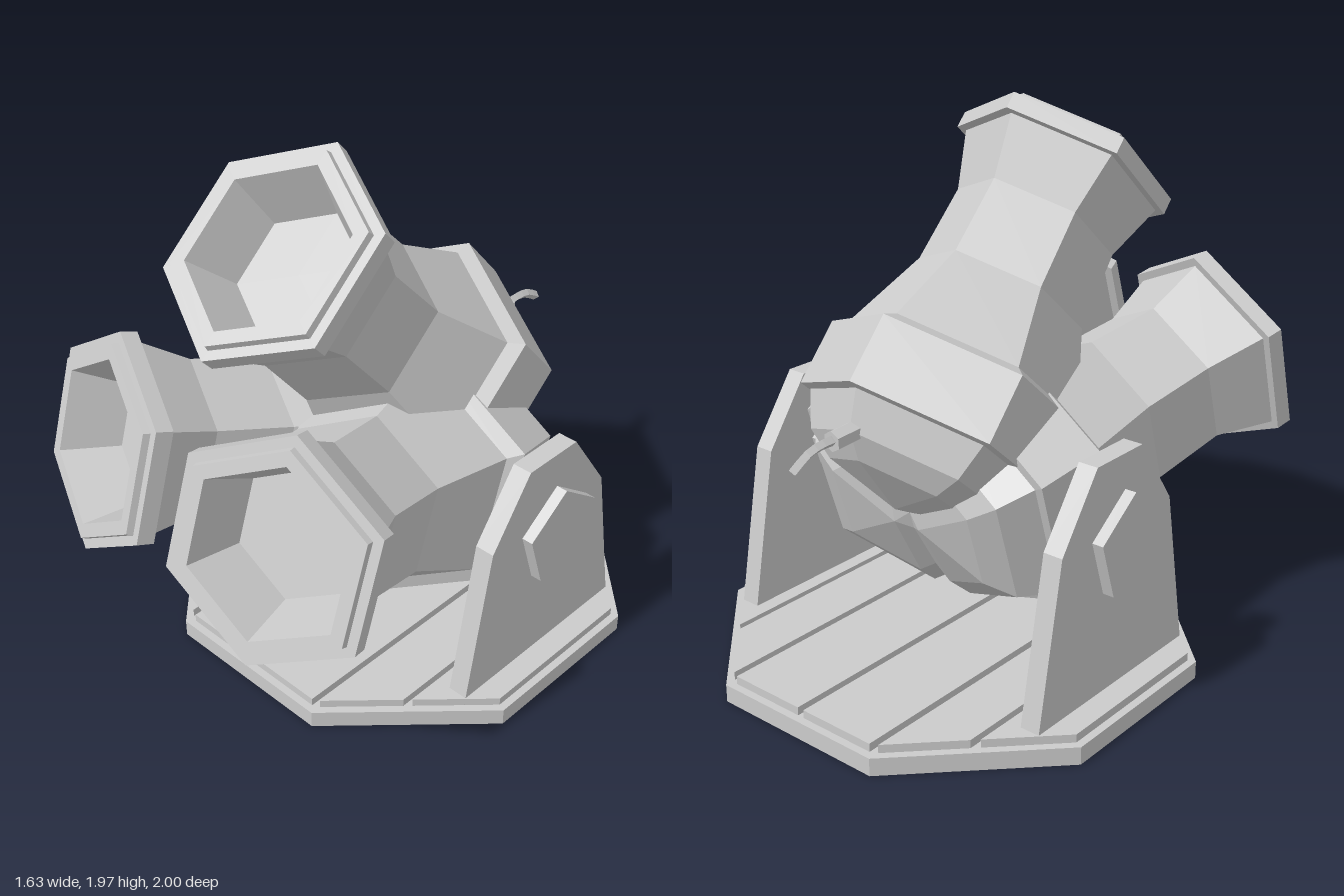
import * as THREE from 'three';

const mat = new THREE.MeshStandardMaterial({ color: 0xcccccc, flatShading: true });
const CZ = -0.19; // centre of the platform in z

function add(parent, geometry, name, x = 0, y = 0, z = 0) {
  const mesh = new THREE.Mesh(geometry, mat);
  mesh.name = name;
  mesh.position.set(x, y, z);
  parent.add(mesh);
  return mesh;
}

function extrude(points, depth) {
  const shape = new THREE.Shape(points.map(([a, b]) => new THREE.Vector2(a, b)));
  return new THREE.ExtrudeGeometry(shape, { depth, bevelEnabled: false });
}

// Pentagonal prism along x with one corner pointing up
function pentagon(radius, length) {
  return new THREE.CylinderGeometry(radius, radius, length, 5).rotateZ(Math.PI / 2).rotateX(-Math.PI / 2);
}

// Six-sided barrel along +z; its origin is the back of the muzzle ring
function barrelGeometry() {
  const profile = [
    [0, -1.345], [0.28, -1.28], [0.385, -1.215], [0.45, -1.09], // domed breech
    [0.49, -1.085], [0.49, -0.84], [0.434, -0.81],              // breech band
    [0.313, -0.505], [0.3, -0.215], [0.37, 0],                  // flared barrel
    [0.404, 0], [0.404, 0.062], [0.365, 0.062], [0.36, 0.086],  // muzzle rings
    [0.306, 0.086], [0.235, -0.12], [0, -0.12],                 // bore
  ].map(([r, t]) => new THREE.Vector2(r, t));
  return new THREE.LatheGeometry(profile, 6).rotateX(Math.PI / 2);
}

export function createModel() {
  const model = new THREE.Group();
  model.name = 'tripleMortar';

  // Octagonal platform
  const R = 0.813 / Math.cos(Math.PI / 8);
  add(model, new THREE.CylinderGeometry(R, R, 0.065, 8, 1, false, Math.PI / 8), 'platform', 0, 0.0325, CZ);

  // Floor planks, clipped to a smaller octagon
  const inner = 0.785;
  const halfLength = (x) => Math.min(inner, inner * Math.SQRT2 - x);
  for (const side of [-1, 1]) {
    for (const [a, b] of [[0.013, 0.312], [0.338, 0.545], [0.568, inner]]) {
      const ha = halfLength(a), hb = halfLength(b);
      const outline = [[side * a, -ha], [side * b, -hb], [side * b, hb], [side * a, ha]];
      add(model, extrude(outline, 0.03).rotateX(-Math.PI / 2), 'plank', 0, 0.065, CZ);
    }
  }

  // Side brackets with pivot shafts and pentagonal caps
  const half = [[0.414, 0.065], [0.3, 0.68], [0.123, 0.93]];
  const bracket = [...half, ...half.map(([z, y]) => [-z, y]).reverse()];
  for (const side of [-1, 1]) {
    const geometry = extrude(bracket, 0.074).translate(0, 0, -0.037).rotateY(-Math.PI / 2);
    add(model, geometry, 'sideBracket', side * 0.66, 0, CZ);
    add(model, pentagon(0.1, 0.3), 'pivotShaft', side * 0.58, 0.637, CZ);
    add(model, pentagon(0.184, 0.042), 'pivotCap', side * 0.741, 0.637, CZ);
  }

  // Three barrels fanning out from a shared breech, the lower two rolled outward
  const geometry = barrelGeometry();
  const barrels = [
    ['topBarrel', [0, 1.652, 0.388], [0, 0.749, 0.663], 0],
    ['leftBarrel', [0.398, 0.953, 0.79], [0.255, 0.29, 0.922], -0.09],
    ['rightBarrel', [-0.398, 0.953, 0.79], [-0.255, 0.29, 0.922], 0.09],
  ];
  for (const [name, position, direction, roll] of barrels) {
    const barrel = add(model, geometry, name, ...position);
    barrel.lookAt(new THREE.Vector3(...direction).add(barrel.position));
    barrel.rotateZ(roll);
  }

  // Fuse holder and drooping fuse
  const holder = new THREE.CylinderGeometry(0.036, 0.036, 0.15, 6).rotateX(Math.PI / 2);
  add(model, holder, 'fuseHolder', 0, 0.988, -0.712).rotation.x = -0.05;
  const path = new THREE.CatmullRomCurve3([
    new THREE.Vector3(0, 0.985, -0.76),
    new THREE.Vector3(-0.005, 0.99, -0.83),
    new THREE.Vector3(-0.008, 0.98, -0.9),
    new THREE.Vector3(-0.008, 0.943, -0.965),
  ]);
  const fuse = add(model, new THREE.TubeGeometry(path, 6, 0.018, 4, false), 'fuse');
  fuse.material = mat.clone();
  fuse.material.side = THREE.DoubleSide;

  return model;
}
